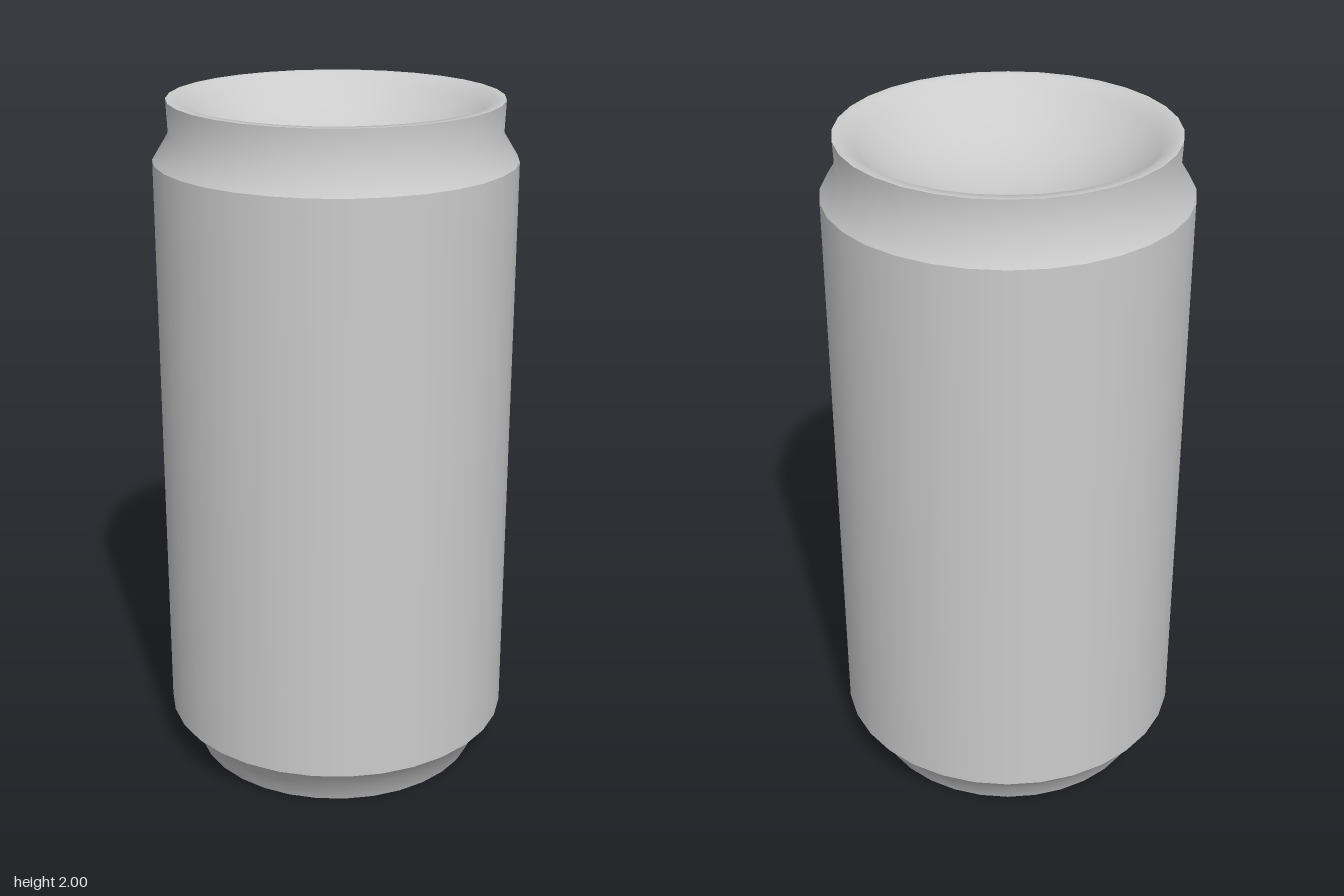
import * as THREE from 'three';

const SIDES = 32;

// Points of a spherical dish from the rim (radius r, height y) to its centre, `depth` away in y.
function dish(r, y, depth, steps = 10) {
  const R = (r * r + depth * depth) / (2 * Math.abs(depth));
  const edge = Math.asin(r / R);
  const points = [];
  for (let i = 0; i <= steps; i++) {
    const a = edge * (1 - i / steps);
    const drop = R * (Math.cos(a) - Math.cos(edge));
    points.push([i === steps ? 0 : R * Math.sin(a), y + Math.sign(depth) * drop]);
  }
  return points;
}

export function createModel() {
  const can = new THREE.Group();
  can.name = 'can';
  const material = new THREE.MeshStandardMaterial({ color: 0xcccccc });

  // Each part is its own lathe, so the edges between parts stay sharp.
  const addPart = (name, profile) => {
    const points = profile.map(([r, y]) => new THREE.Vector2(r, y));
    const mesh = new THREE.Mesh(new THREE.LatheGeometry(points, SIDES), material);
    mesh.name = name;
    can.add(mesh);
  };

  // Standing ring and the dome pushed up into the base
  addPart('baseDome', [...dish(0.41, 0, 0.17).reverse(), [0.43, 0]]);
  // Outer wall, from the foot to the rim
  addPart('footTaper', [[0.43, 0], [0.457, 0.065], [0.515, 0.13]]);
  addPart('body', [[0.515, 0.13], [0.515, 1.83]]);
  addPart('neck', [[0.515, 1.83], [0.469, 1.905], [0.473, 2]]);
  // Flat lip and the hollow top
  addPart('lidBowl', [[0.473, 2], ...dish(0.445, 2, -0.18)]);

  return can;
}
